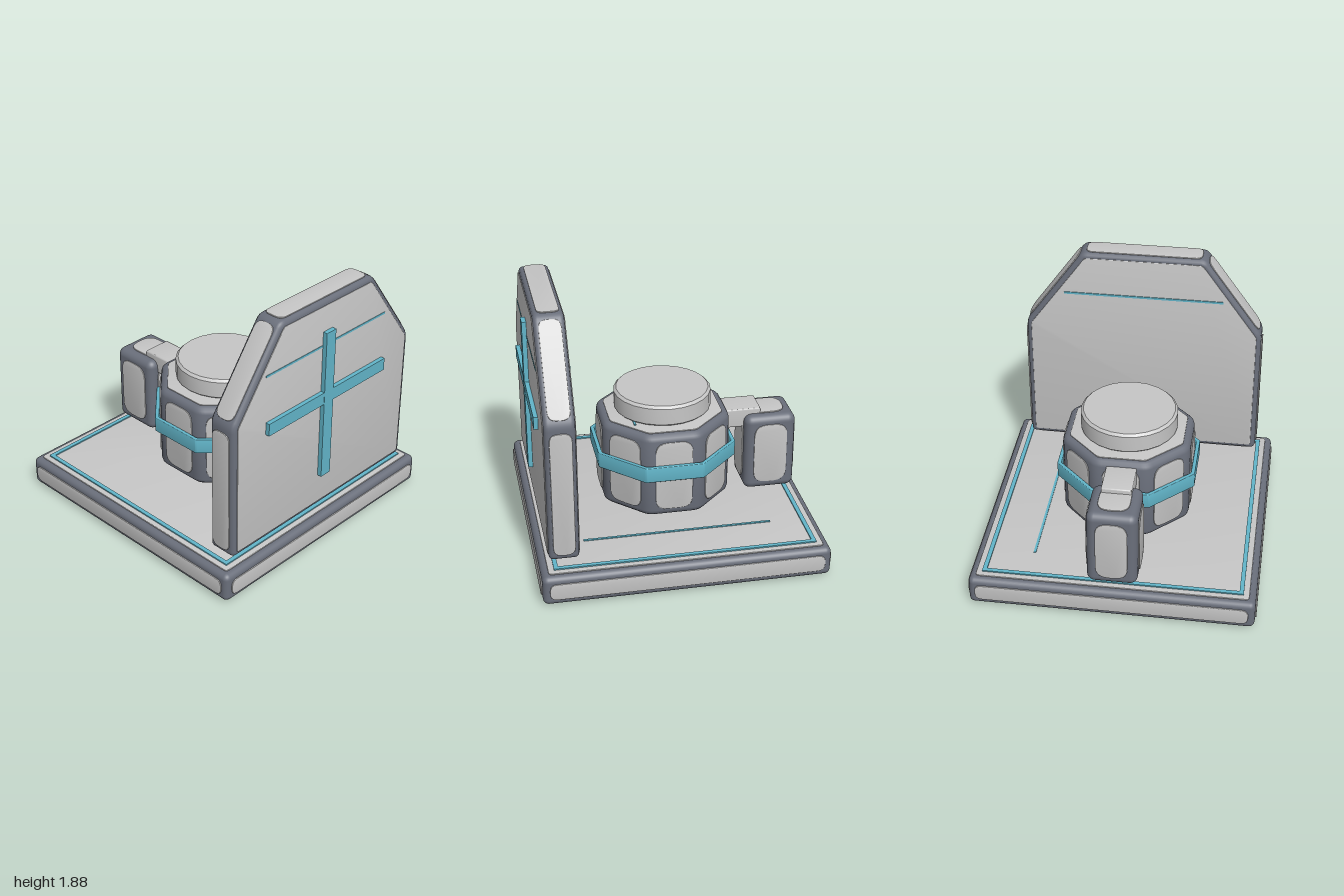
import * as THREE from 'three';
import { toCreasedNormals } from 'three/addons/utils/BufferGeometryUtils.js';
import { RoundedBoxGeometry } from 'three/addons/geometries/RoundedBoxGeometry.js';

const mat = (name, color) => {
  const m = new THREE.MeshStandardMaterial({ color });
  m.name = name;
  return m;
};

// Closed outline with each corner rounded by r
function outline(pts, r, Type = THREE.Shape) {
  const s = new Type();
  const v = pts.map(([x, y]) => new THREE.Vector2(x, y));
  v.forEach((p, i) => {
    const a = v[(i + v.length - 1) % v.length], b = v[(i + 1) % v.length];
    const p0 = p.clone().add(a.clone().sub(p).setLength(r));
    const p1 = p.clone().add(b.clone().sub(p).setLength(r));
    if (i === 0) s.moveTo(p0.x, p0.y); else s.lineTo(p0.x, p0.y);
    s.quadraticCurveTo(p.x, p.y, p1.x, p1.y);
  });
  s.closePath();
  return s;
}

const rect = (w, h) => [[-w / 2, -h / 2], [w / 2, -h / 2], [w / 2, h / 2], [-w / 2, h / 2]];

// Regular octagon with flats on the axes, given its apothem
const octagon = (a) => Array.from({ length: 8 }, (_, i) => {
  const t = (i + 0.5) * Math.PI / 4, r = a / Math.cos(Math.PI / 8);
  return [r * Math.cos(t), r * Math.sin(t)];
});

// Bevelled slab from z = 0 to z = depth
function slab(shape, depth, bevel) {
  const g = new THREE.ExtrudeGeometry(shape, {
    depth: depth - 2 * bevel, curveSegments: 5, bevelEnabled: bevel > 0,
    bevelThickness: bevel, bevelSize: bevel, bevelOffset: -bevel, bevelSegments: 3,
  });
  g.translate(0, 0, bevel);
  return toCreasedNormals(g, 0.65);
}

const upright = (g, y) => g.rotateX(-Math.PI / 2).translate(0, y, 0);

export function createModel() {
  const light = mat('light grey panel', 0xc6c6c6);
  const dark = mat('slate frame', 0x6a6f7b);
  const teal = mat('teal trim', 0x62b5c9);
  const model = new THREE.Group();

  const group = (name) => {
    const g = new THREE.Group();
    g.name = name;
    model.add(g);
    return g;
  };
  const add = (parent, name, geo, material, x = 0, y = 0, z = 0) => {
    const m = new THREE.Mesh(geo, material);
    m.name = name;
    m.position.set(x, y, z);
    parent.add(m);
    return m;
  };
  const box = (parent, name, material, [x0, x1], [y0, y1], [z0, z1]) =>
    add(parent, name, new THREE.BoxGeometry(x1 - x0, y1 - y0, z1 - z0), material,
      (x0 + x1) / 2, (y0 + y1) / 2, (z0 + z1) / 2);
  // Thin plate lying on a surface at pos, facing along normal
  const plate = (parent, name, pts, r, pos, normal, out = 0.009) => {
    const g = slab(outline(pts, r), out, 0.003);
    const m = add(parent, name, g, light, ...pos);
    m.lookAt(pos[0] + normal[0], pos[1] + normal[1], pos[2] + normal[2]);
  };

  // Base
  const base = group('base');
  add(base, 'baseFrame', new RoundedBoxGeometry(1.982, 0.212, 1.982, 3, 0.04), dark, 0, 0.115, 0);
  for (const s of [-1, 1]) {
    plate(base, 'baseSidePanel', rect(1.89, 0.12), 0.05, [0.991 * s, 0.115, 0], [s, 0, 0]);
    plate(base, 'baseEndPanel', rect(1.89, 0.12), 0.05, [0, 0.115, 0.991 * s], [0, 0, s]);
    plate(base, 'baseFacePanel', rect(1.89, 1.89), 0.03, [0, 0.115 + 0.106 * s, 0], [0, s, 0]);
  }
  const border = outline(rect(1.81, 1.81), 0.002);
  border.holes.push(outline(rect(1.75, 1.75), 0.002, THREE.Path));
  add(base, 'baseBorder', upright(slab(border, 0.009, 0), 0.23), teal);
  box(base, 'baseLine', teal, [0.573, 0.59], [0.228, 0.236], [-0.66, 0.66]);

  // Upright shield plate
  const shield = group('shield');
  const shieldPts = (i) => [
    [-0.87 + i, 0.28 + i], [0.87 - i, 0.28 + i], [0.87 - i, 1.285 - i * 0.3],
    [0.445 - i * 0.55, 1.875 - i], [-0.445 + i * 0.55, 1.875 - i], [-0.87 + i, 1.285 - i * 0.3],
  ];
  add(shield, 'shieldFrame', slab(outline(shieldPts(0), 0.04), 0.206, 0.03), dark, 0, 0, 0.724);
  for (const s of [-1, 1]) {
    plate(shield, 'shieldFacePanel', shieldPts(0.035), 0.02, [0, 0, 0.827 + 0.103 * s], [0, 0, s], 0.006);
    plate(shield, 'shieldSidePanel', rect(0.15, 0.91), 0.06, [0.87 * s, 0.775, 0.825], [s, 0, 0]);
    plate(shield, 'shieldSlopePanel', rect(0.15, 0.66), 0.06,
      [0.6575 * s, 1.58, 0.825], [0.811 * s, 0.585, 0]);
  }
  plate(shield, 'shieldTopPanel', rect(0.84, 0.15), 0.05, [0, 1.875, 0.825], [0, 1, 0]);
  plate(shield, 'shieldBottomPanel', rect(1.66, 0.15), 0.05, [0, 0.28, 0.825], [0, -1, 0]);
  box(shield, 'shieldLine', teal, [-0.585, 0.58], [1.543, 1.558], [0.712, 0.939]);
  box(shield, 'crossUpright', teal, [-0.05, 0.04], [0.54, 1.655], [0.93, 0.968]);
  box(shield, 'crossBar', teal, [-0.58, 0.575], [1.12, 1.21], [0.93, 0.966]);

  // Octagonal drum
  const drum = group('drum');
  add(drum, 'drumFrame', upright(slab(outline(octagon(0.45), 0.05), 0.63, 0.045), 0.283), dark);
  for (let i = 0; i < 8; i++) {
    const t = i * Math.PI / 4, c = Math.cos(t), s = Math.sin(t);
    plate(drum, 'drumSidePanel', rect(0.26, 0.52), 0.08, [0.45 * c, 0.6, 0.45 * s], [c, 0, s]);
  }
  plate(drum, 'drumTopPanel', octagon(0.4), 0.02, [0, 0.912, 0], [0, 1, 0]);
  plate(drum, 'drumBottomPanel', octagon(0.4), 0.02, [0, 0.284, 0], [0, -1, 0]);
  box(drum, 'drumTopLine', teal, [-0.28, 0.27], [0.915, 0.927], [0.232, 0.247]);
  box(drum, 'drumBottomLine', teal, [-0.28, 0.27], [0.27, 0.28], [-0.247, -0.232]);
  const ring = outline(octagon(0.49), 0.01);
  ring.holes.push(outline(octagon(0.462), 0.01, THREE.Path));
  add(drum, 'drumBand', upright(slab(ring, 0.113, 0.006), 0.58), teal);

  // Round cap
  const capProfile = [[0, 0.915], [0.33, 0.928], [0.343, 0.94], [0.343, 1.058], [0.325, 1.076], [0, 1.076]]
    .map(([x, y]) => new THREE.Vector2(x, y));
  add(drum, 'drumCap', toCreasedNormals(new THREE.LatheGeometry(capProfile, 24), 0.5), light);

  // Arm joining the drum to the rear pod
  const arm = outline(rect(0.21, 0.14), 0.012);
  add(model, 'arm', slab(arm, 0.31, 0.01), light, -0.005, 0.81, -0.698);

  // Rear pod
  const pod = group('pod');
  const px = -0.005, py = 0.545, pz = -0.76;
  add(pod, 'podFrame', new RoundedBoxGeometry(0.35, 0.585, 0.37, 4, 0.055), dark, px, py, pz);
  for (const s of [-1, 1]) {
    plate(pod, 'podSidePanel', rect(0.24, 0.46), 0.09, [px + 0.175 * s, py, pz], [s, 0, 0]);
    plate(pod, 'podEndPanel', rect(0.22, 0.46), 0.09, [px, py, pz + 0.185 * s], [0, 0, s]);
    plate(pod, 'podCapPanel', rect(0.22, 0.24), 0.09, [px, py + 0.2925 * s, pz], [0, s, 0]);
  }
  return model;
}
